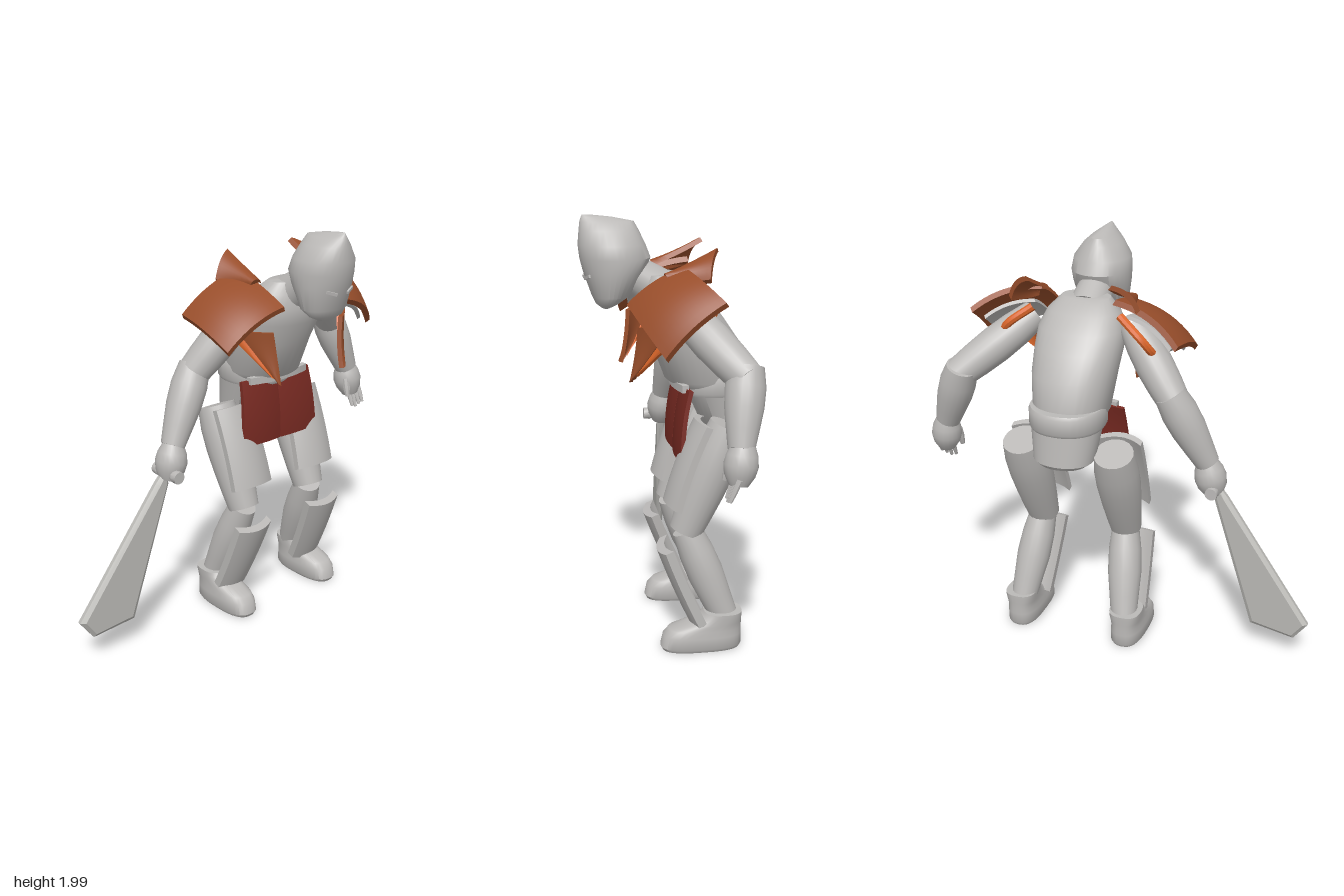
import * as THREE from 'three';
import { toCreasedNormals } from 'three/addons/utils/BufferGeometryUtils.js';

const mat = (name, color) => {
  const m = new THREE.MeshStandardMaterial({ color });
  m.name = name;
  return m;
};
const CX = 0.215; // the body's plane of symmetry

export function createModel() {
  const model = new THREE.Group();
  model.name = 'armouredFighter';
  const grey = mat('armourGrey', 0xbbb9b7);
  const steel = mat('bladeSteel', 0xbbbab6);
  const brown = mat('leatherBrown', 0x984e2b);
  const orange = mat('strapOrange', 0xdb662a);
  const red = mat('clothRed', 0x782a22);

  const add = (name, geo, material, crease = 0.7) => {
    const mesh = new THREE.Mesh(toCreasedNormals(geo, crease), material);
    mesh.name = name;
    model.add(mesh);
    return mesh;
  };
  const V = (p) => new THREE.Vector3(...p);

  // Stack of level rings: [y, zBack, zFront, halfWidth]; power squares them off
  function loft(rings, x = 0, power = 2, n = 32) {
    const pos = [], idx = [];
    for (const [y, zb, zf, rx] of rings) {
      for (let j = 0; j < n; j++) {
        const t = (j / n) * Math.PI * 2, c = Math.cos(t), s = Math.sin(t);
        const e = 2 / power;
        pos.push(x + rx * Math.sign(c) * Math.abs(c) ** e, y,
          (zb + zf) / 2 + ((zf - zb) / 2) * Math.sign(s) * Math.abs(s) ** e);
      }
    }
    for (let i = 0; i < rings.length - 1; i++) {
      for (let j = 0; j < n; j++) {
        const a = i * n + j, b = i * n + ((j + 1) % n);
        idx.push(a, a + n, b, b, a + n, b + n);
      }
    }
    const last = rings.length - 1;
    for (const r of [0, last]) {
      const [y, zb, zf] = rings[r], c = pos.length / 3;
      pos.push(x, y, (zb + zf) / 2);
      for (let j = 0; j < n; j++) {
        const a = r * n + j, b = r * n + ((j + 1) % n);
        idx.push(c, r ? b : a, r ? a : b);
      }
    }
    const g = new THREE.BufferGeometry();
    g.setAttribute('position', new THREE.Float32BufferAttribute(pos, 3));
    g.setIndex(idx);
    return g;
  }

  // Round limb from a to b; radii are spread evenly along its length
  function limb(name, a, b, radii, material = grey, sides = 20) {
    const from = V(a), dir = V(b).sub(from), len = dir.length();
    const pts = radii.map((r, i) => new THREE.Vector2(r, (len * i) / (radii.length - 1)));
    pts.unshift(new THREE.Vector2(0, 0));
    pts.push(new THREE.Vector2(0, len));
    const g = new THREE.LatheGeometry(pts, sides);
    g.applyQuaternion(new THREE.Quaternion().setFromUnitVectors(new THREE.Vector3(0, 1, 0), dir.normalize()));
    g.translate(...a);
    return add(name, g, material);
  }

  // Curved plate between four corners, bulging along its normal across u and v
  function plate(name, corners, bulgeU, bulgeV, thick, material) {
    const [a, b, c, d] = corners.map(V);
    const normal = c.clone().sub(a).cross(d.clone().sub(b)).normalize();
    const g = new THREE.BoxGeometry(1, 1, 1, 10, 10, 1), p = g.attributes.position;
    for (let i = 0; i < p.count; i++) {
      const u = p.getX(i) + 0.5, v = p.getY(i) + 0.5;
      const low = a.clone().lerp(b, u), high = d.clone().lerp(c, u);
      const lift = bulgeU * 4 * u * (1 - u) + bulgeV * 4 * v * (1 - v) + p.getZ(i) * thick;
      low.lerp(high, v).addScaledVector(normal, lift);
      p.setXYZ(i, low.x, low.y, low.z);
    }
    return add(name, g, material);
  }

  // Helmet and eye slits
  add('helmet', loft([
    [1.585, 0.27, 0.31, 0.05], [1.605, 0.23, 0.335, 0.095], [1.64, 0.18, 0.352, 0.125],
    [1.75, 0.11, 0.39, 0.142], [1.81, 0.085, 0.405, 0.146], [1.87, 0.108, 0.412, 0.138],
    [1.935, 0.14, 0.406, 0.092], [1.97, 0.16, 0.402, 0.052], [1.99, 0.26, 0.396, 0.022],
    [2.0, 0.35, 0.39, 0.006],
  ], CX), grey, 0.6);
  for (const s of [-1, 1]) {
    const slit = add('eyeSlit', new THREE.BoxGeometry(0.055, 0.014, 0.009), grey);
    slit.position.set(CX + s * 0.058, 1.73, 0.376);
    slit.rotation.set(0.15, s * 0.4, s * 0.25);
  }

  // Torso leaning forward, neck, belt and pelvis
  add('torso', loft([
    [1.22, -0.36, -0.02, 0.165], [1.25, -0.365, 0.02, 0.18], [1.42, -0.325, 0.085, 0.2],
    [1.53, -0.25, 0.135, 0.21], [1.61, -0.19, 0.15, 0.208], [1.68, -0.115, 0.13, 0.175],
    [1.735, -0.04, 0.11, 0.12],
  ], CX, 2.25), grey);
  limb('neck', [CX, 1.66, 0.05], [CX, 1.76, 0.2], [0.1, 0.08]);
  add('belt', loft([
    [1.185, -0.395, -0.04, 0.175], [1.2, -0.405, -0.03, 0.182],
    [1.275, -0.405, -0.03, 0.182], [1.29, -0.395, -0.04, 0.175],
  ], CX, 2.2), grey);
  add('pelvis', loft([
    [1.015, -0.39, -0.18, 0.12], [1.035, -0.405, -0.15, 0.148], [1.19, -0.39, -0.08, 0.17],
  ], CX, 2.2), grey);
  plate('waistLip', [[0.03, 1.215, -0.05], [0.4, 1.215, -0.05], [0.4, 1.25, -0.05], [0.03, 1.25, -0.05]],
    0.03, 0, 0.03, grey);

  // Parts that repeat on both sides
  for (const s of [-1, 1]) {
    const m = ([x, y, z]) => [CX + s * (x - CX), y, z];
    const q = (c) => (s > 0 ? c : [c[1], c[0], c[3], c[2]]).map(m);

    // Cloth skirt
    plate('skirtPanel', q([[0.217, 0.9, -0.03], [0.462, 0.905, -0.03], [0.437, 1.23, -0.07], [0.217, 1.23, -0.07]]),
      0.012, 0.012, 0.02, red);

    // Legs
    limb('thigh', m([0.45, 1.07, -0.245]), m([0.44, 0.57, -0.045]), [0.095, 0.107, 0.107, 0.1, 0.09, 0.078]);
    limb('shin', m([0.44, 0.575, -0.05]), m([0.49, 0.15, -0.225]), [0.068, 0.082, 0.085, 0.075, 0.065]);
    plate('thighPlate', q([[0.31, 0.7, 0.005], [0.55, 0.7, 0.005], [0.55, 1.09, -0.135], [0.33, 1.09, -0.135]]),
      0.038, 0.01, 0.032, grey);
    plate('shinPlate', q([[0.385, 0.13, -0.115], [0.572, 0.13, -0.115], [0.56, 0.51, 0.045], [0.35, 0.51, 0.045]]),
      0.03, 0.006, 0.04, grey);
    add('boot', loft([
      [0.008, -0.29, 0.07, 0.075], [0.025, -0.3, 0.08, 0.086], [0.08, -0.3, 0.068, 0.085],
      [0.11, -0.3, 0.04, 0.08], [0.14, -0.3, -0.06, 0.078], [0.17, -0.302, -0.11, 0.08],
      [0.19, -0.302, -0.125, 0.08],
    ], m([0.5, 0, 0])[0], 2.7), grey);

    // Raised collar flare, chest flap with bright edge, and strap behind the shoulder
    plate('collarFlare', q([[0.415, 1.75, 0.05], [0.46, 1.72, 0.03], [0.53, 1.74, -0.135], [0.415, 1.86, -0.185]]),
      0.025, -0.005, 0.025, brown);
    plate('chestFlap', q([[0.416, 1.28, 0.2], [0.432, 1.295, 0.19], [0.56, 1.54, 0.05], [0.435, 1.53, 0.165]]),
      0.008, -0.008, 0.022, brown);
    plate('flapEdge', q([[0.44, 1.31, 0.175], [0.455, 1.325, 0.165], [0.605, 1.55, -0.01], [0.545, 1.55, 0.045]]),
      0.006, -0.006, 0.02, orange);
    const path = new THREE.CatmullRomCurve3([[0.43, 1.7, -0.1], [0.55, 1.61, -0.14], [0.59, 1.54, -0.1],
      [0.58, 1.52, -0.02]].map((p) => V(m(p))));
    add('shoulderStrap', new THREE.TubeGeometry(path, 20, 0.02, 8), orange);
  }

  // Shoulder plates with grey lining
  const lining = (corners) => {
    const mid = corners.reduce((t, c) => t.add(V(c)), new THREE.Vector3()).divideScalar(4);
    return corners.map((c) => V(c).lerp(mid, 0.28).add(new THREE.Vector3(0, -0.035, -0.005)).toArray());
  };
  const shoulders = {
    left: [[0.41, 1.62, 0.21], [0.718, 1.44, 0.085], [0.718, 1.67, -0.17], [0.41, 1.78, -0.04]],
    right: [[-0.288, 1.485, 0.175], [0.02, 1.65, 0.21], [0.02, 1.77, -0.12], [-0.288, 1.595, -0.155]],
  };
  for (const [side, corners] of Object.entries(shoulders)) {
    plate(side + 'ShoulderPlate', corners, 0.035, 0.025, 0.028, brown);
    plate(side + 'ShoulderLining', lining(corners), 0.025, 0.015, 0.018, grey);
  }

  // Arms
  const arm = [0.07, 0.085, 0.09, 0.085, 0.075], fore = [0.075, 0.088, 0.085, 0.072, 0.058];
  limb('leftUpperArm', [0.46, 1.63, 0.0], [0.78, 1.36, -0.25], arm);
  limb('leftForearm', [0.745, 1.41, -0.25], [0.87, 1.09, -0.205], fore);
  limb('rightUpperArm', [-0.03, 1.63, 0.0], [-0.28, 1.31, -0.12], arm);
  limb('rightForearm', [-0.25, 1.36, -0.12], [-0.43, 1.01, -0.07], fore);

  // Open left hand with fingers
  limb('leftHand', [0.87, 1.11, -0.215], [0.893, 0.94, -0.19], [0.05, 0.068, 0.075, 0.066, 0.042]);
  for (let i = 0; i < 4; i++) {
    const x = 0.868 + i * 0.026;
    limb('finger', [x, 0.98, -0.185], [x + 0.003, 0.87 + Math.abs(i - 1) * 0.008, -0.145],
      [0.013, 0.013, 0.008], grey, 8);
  }
  limb('leftThumb', [0.835, 1.04, -0.17], [0.83, 0.945, -0.145], [0.02, 0.02, 0.012], grey, 8);

  // Right fist and crossguard
  limb('rightHand', [-0.425, 1.02, -0.07], [-0.465, 0.85, -0.06], [0.05, 0.07, 0.078, 0.07, 0.045]);
  limb('crossguard', [-0.47, 0.885, -0.15], [-0.47, 0.885, 0.03], [0.03, 0.032, 0.018, 0.018, 0.018, 0.032, 0.03], grey, 12);

  // Broad blade, thicker along the spine than at the cutting edge
  const outline = new THREE.Shape([[-0.485, 0.9], [-0.53, 0.84], [-0.96, 0.24], [-0.9, 0.155],
    [-0.69, 0.18], [-0.48, 0.83]].map(([x, y]) => new THREE.Vector2(x, y)));
  const blade = new THREE.ExtrudeGeometry(outline, {
    depth: 0.012, bevelEnabled: true, bevelThickness: 0.01, bevelSize: 0.018, bevelOffset: -0.008, bevelSegments: 1,
  });
  const p = blade.attributes.position;
  for (let i = 0; i < p.count; i++) {
    const x = p.getX(i), fromSpine = (x + 0.53) * 0.813 - (p.getY(i) - 0.84) * 0.582;
    const half = 0.025 - 0.035 * THREE.MathUtils.clamp(fromSpine, 0, 0.28);
    p.setZ(i, ((p.getZ(i) - 0.006) / 0.016) * half - 0.07 + (x + 0.5) * 0.09);
  }
  add('blade', blade, steel, 0.3);

  return model;
}
